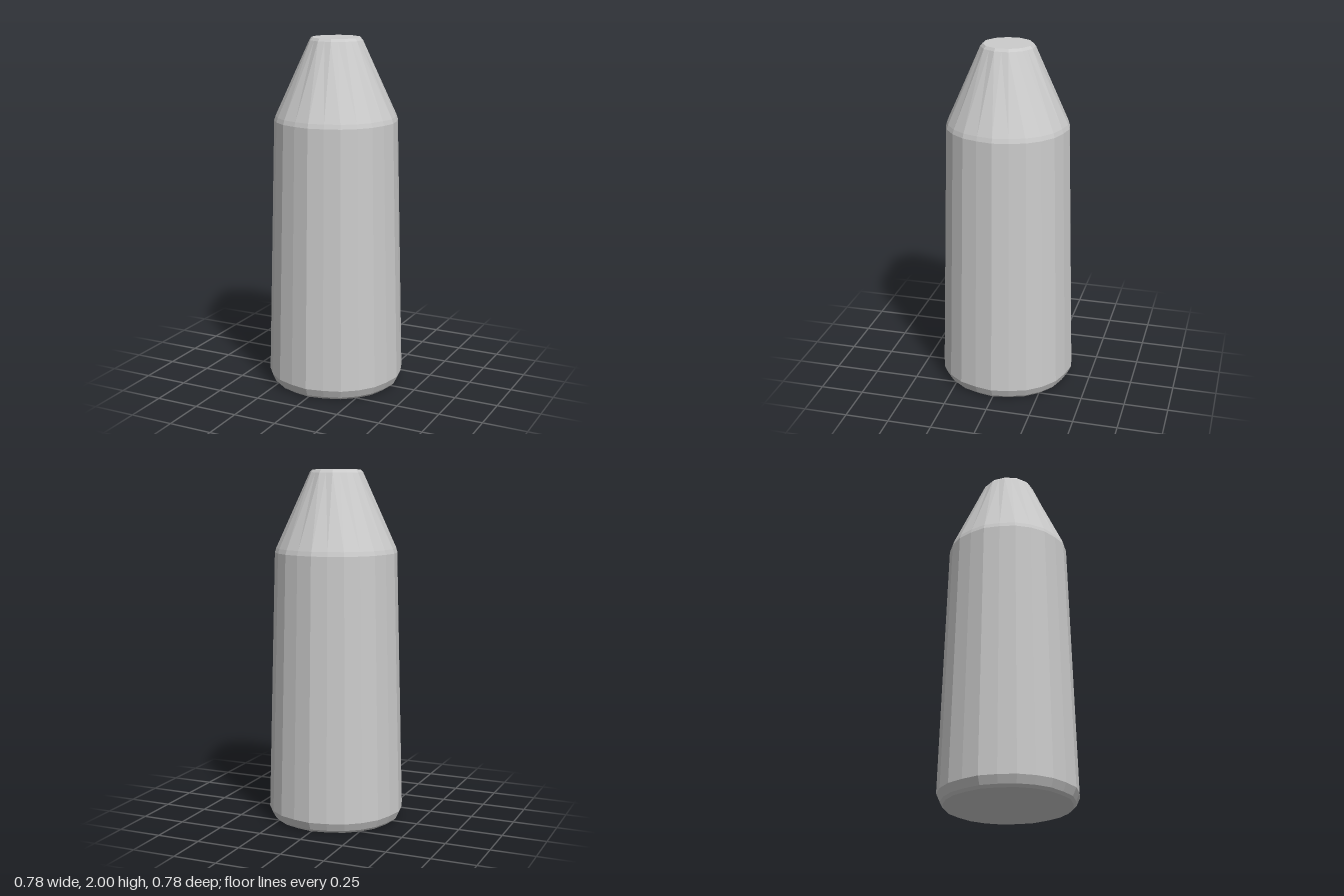
import * as THREE from 'three';

const SIDES = 24;

export function createModel() {
  const group = new THREE.Group();
  group.name = 'taperedBody';
  const material = new THREE.MeshStandardMaterial({ color: 0xcccccc, flatShading: true });

  // Profile from the base, up the tapered wall, over the shoulder to the flat tip
  const profile = [
    [0, 0], [0.355, 0], [0.37, 0.015], [0.39, 0.06],
    [0.349, 1.54], [0.341, 1.565],
    [0.151, 1.985], [0.138, 2], [0, 2],
  ].map(([r, y]) => new THREE.Vector2(r, y));
  const geometry = new THREE.LatheGeometry(profile, SIDES);

  // The tip narrows to 12 sides; the wall is slightly flattened beside each axis
  const pos = geometry.attributes.position;
  for (let i = 0; i < pos.count; i++) {
    const side = Math.floor(i / profile.length) % SIDES;
    let k = 1;
    if (pos.getY(i) > 1.9) k = side % 2 ? 1 : Math.cos(Math.PI / 12);
    else if (side % 6 === 1 || side % 6 === 5) k = 0.985;
    pos.setX(i, pos.getX(i) * k);
    pos.setZ(i, pos.getZ(i) * k);
  }
  geometry.computeVertexNormals();

  const body = new THREE.Mesh(geometry, material);
  body.name = 'body';
  group.add(body);
  return group;
}
